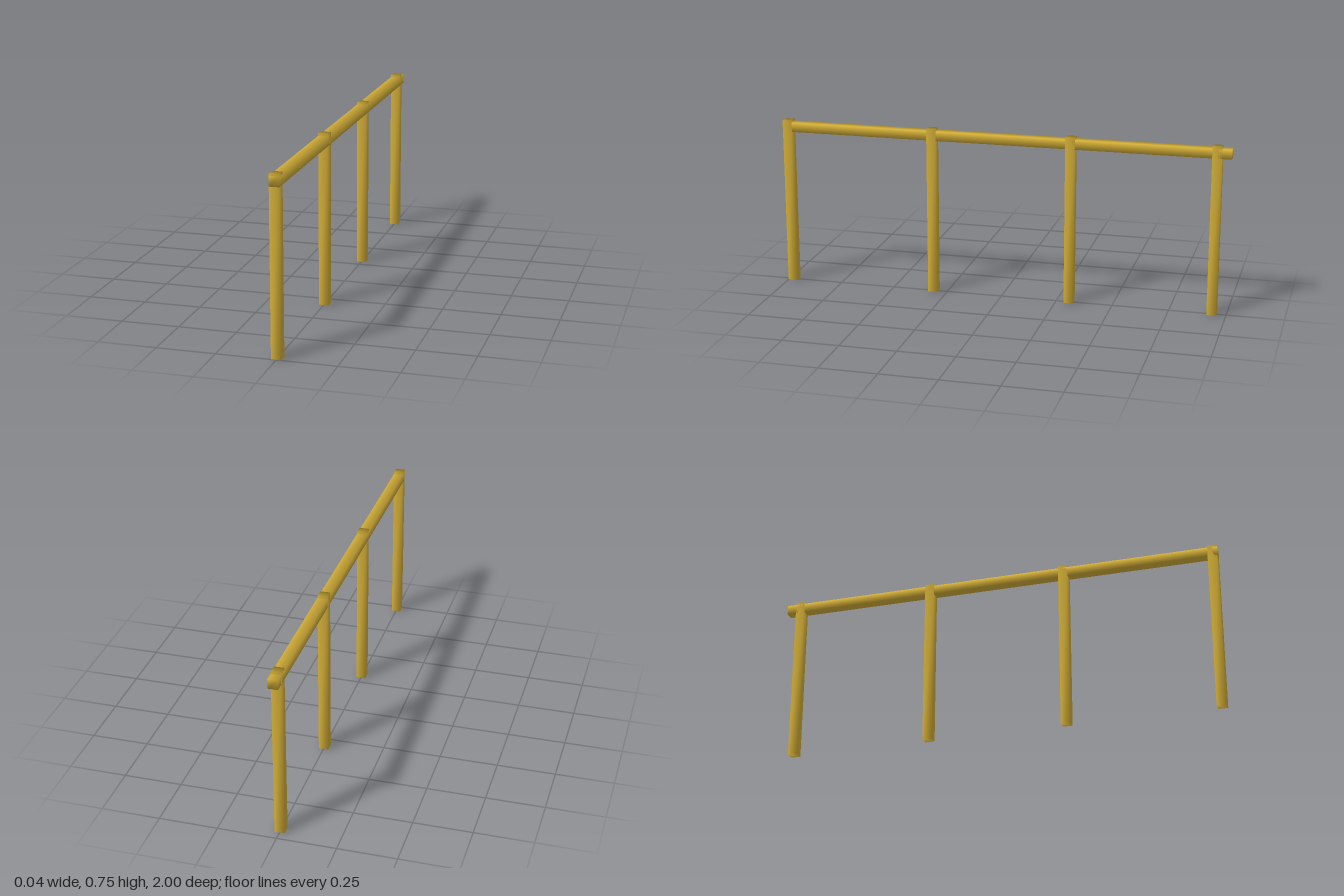
import * as THREE from 'three';
import { mergeVertices } from 'three/addons/utils/BufferGeometryUtils.js';

const SIDE = 0.042;

// Square bar whose corners share normals, giving softly shaded edges
function softBar(width, height, depth) {
  const box = new THREE.BoxGeometry(width, height, depth);
  box.deleteAttribute('normal');
  box.deleteAttribute('uv');
  box.clearGroups();
  const bar = mergeVertices(box);
  bar.computeVertexNormals();
  return bar;
}

export function createModel() {
  const model = new THREE.Group();
  model.name = 'railing';

  const gold = new THREE.MeshStandardMaterial({ color: 0xd4af37 });
  gold.name = 'gold';

  // Upright posts, slightly taller than the rail
  const postHeight = 0.75;
  const postGeometry = softBar(SIDE, postHeight, SIDE);
  [0.978, 0.312, -0.308, -0.938].forEach((z, i) => {
    const post = new THREE.Mesh(postGeometry, gold);
    post.name = `post${i + 1}`;
    post.position.set(0, postHeight / 2, z);
    model.add(post);
  });

  // Horizontal rail running through the post tops
  const rail = new THREE.Mesh(softBar(SIDE, SIDE, 2), gold);
  rail.name = 'rail';
  rail.position.y = 0.72;
  model.add(rail);

  return model;
}
